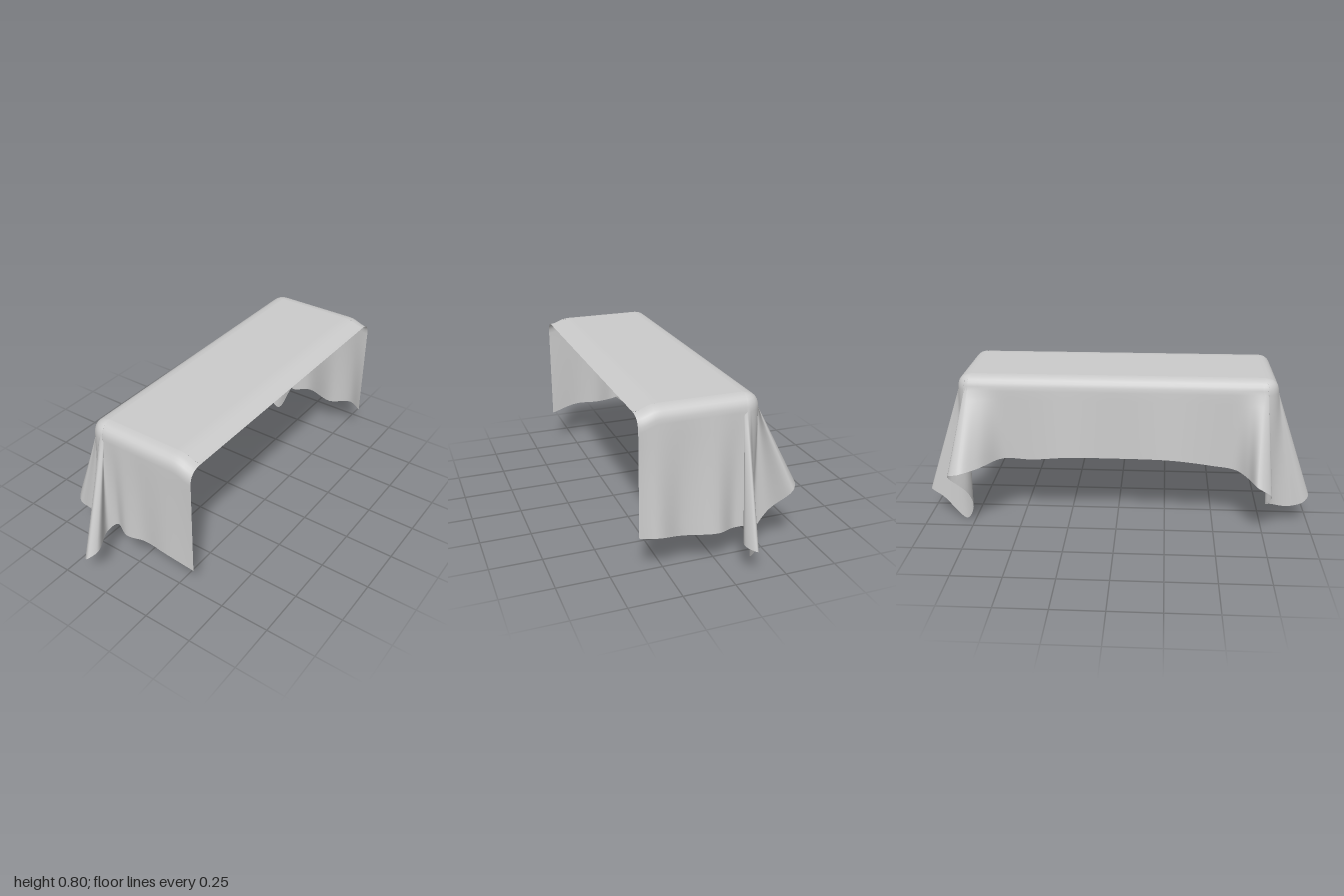
import * as THREE from 'three';

const TOP = 0.797, R = 0.07;               // height of the sheet, radius of its shoulders
const X0 = -0.13, X1 = 0.378, Z = 0.73;    // flat part of the top

// Hem points x, y, z; a trailing 1 means the cloth there hangs from the corner
const frontHem = [
  [0.378, 0.2, 0.8], [0.23, 0.235, 0.815], [0.1, 0.235, 0.805], [0, 0.235, 0.825], [-0.065, 0.257, 0.805],
  [-0.11, 0.21, 0.84, 1], [-0.068, 0.19, 0.95, 1], [-0.1, 0.16, 0.997, 1], [-0.137, 0.13, 0.97, 1],
  [-0.15, 0.11, 0.89, 1], [-0.2, 0.145, 0.79, 1], [-0.29, 0.19, 0.75, 1], [-0.34, 0.25, 0.775, 1],
  [-0.367, 0.31, 0.7, 1], [-0.28, 0.32, 0.66], [-0.212, 0.335, 0.6],
];
const sideHem = [[-0.205, 0.352, 0.48], [-0.218, 0.38, 0.28], [-0.205, 0.38, 0], [-0.218, 0.383, -0.26], [-0.205, 0.365, -0.43]];
const backHem = [
  [0.378, 0.2, -0.8], [0.3, 0.205, -0.835], [0.18, 0.18, -0.805], [0.02, 0.18, -0.845], [-0.075, 0.17, -0.805],
  [-0.12, 0.18, -0.83, 1], [-0.068, 0.15, -0.93, 1], [-0.1, 0.145, -0.997, 1], [-0.14, 0.11, -0.92, 1],
  [-0.165, 0.002, -0.8, 1], [-0.205, 0.09, -0.75, 1], [-0.27, 0.2, -0.76, 1], [-0.355, 0.325, -0.835, 1],
  [-0.385, 0.35, -0.775, 1], [-0.33, 0.36, -0.69], [-0.21, 0.37, -0.58],
];

// The free long edge droops a little
const droop = x => 0.027 * THREE.MathUtils.smoothstep(x, 0.28, X1);

function drapeGeometry() {
  const hem = [...frontHem, ...sideHem, ...backHem.slice().reverse()];
  const hemCurve = new THREE.CatmullRomCurve3(hem.map(p => new THREE.Vector3(p[0], p[1], p[2])));
  const anchors = hem.map(([x, , z, corner]) => new THREE.Vector3(
    corner ? X0 : THREE.MathUtils.clamp(x, X0, X1), TOP,
    corner ? Z * Math.sign(z) : THREE.MathUtils.clamp(z, -Z, Z)));
  const SUB = 6, BEND = 6, FALL = 8, rows = BEND + FALL + 1;
  const spans = hem.length - 1, cols = spans * SUB + 1;
  const pos = [], index = [];
  for (let i = 0; i < cols; i++) {
    const k = Math.min(Math.floor(i / SUB), spans - 1);
    const foot = hemCurve.getPoint(i / (cols - 1));
    const start = anchors[k].clone().lerp(anchors[k + 1], i / SUB - k);
    const out = new THREE.Vector3(foot.x - start.x, 0, foot.z - start.z).normalize();
    const edge = start.clone().addScaledVector(out, R);
    const shoulder = edge.clone().setY(TOP - R);
    const bend = new THREE.QuadraticBezierCurve3(start, edge, shoulder);
    for (let j = 0; j < rows; j++) {
      const p = j <= BEND ? bend.getPoint(j / BEND) : shoulder.clone().lerp(foot, (j - BEND) / FALL);
      const fade = j <= BEND ? 1 : 1 - (j - BEND) / FALL;
      pos.push(p.x, p.y - droop(p.x) * fade, p.z);
      if (i < cols - 1 && j < rows - 1) {
        const a = i * rows + j, b = a + rows;
        index.push(a, b, a + 1, b, b + 1, a + 1);
      }
    }
  }
  const g = new THREE.BufferGeometry();
  g.setAttribute('position', new THREE.Float32BufferAttribute(pos, 3));
  g.setIndex(index);
  g.computeVertexNormals();
  return g;
}

function topGeometry() {
  const g = new THREE.PlaneGeometry(X1 - X0, 2 * Z, 16, 12);
  g.rotateX(-Math.PI / 2).translate((X0 + X1) / 2, TOP, 0);
  const p = g.attributes.position;
  for (let i = 0; i < p.count; i++) p.setY(i, p.getY(i) - droop(p.getX(i)));
  g.computeVertexNormals();
  return g;
}

export function createModel() {
  const cloth = new THREE.MeshStandardMaterial({ color: 0xcccccc, side: THREE.DoubleSide });
  const group = new THREE.Group();
  group.name = 'drapedTablecloth';
  const add = (name, geometry) => {
    const mesh = new THREE.Mesh(geometry, cloth);
    mesh.name = name;
    group.add(mesh);
  };
  add('clothTop', topGeometry());
  add('hangingDrape', drapeGeometry());   // ends, long side and both corner folds
  return group;
}
